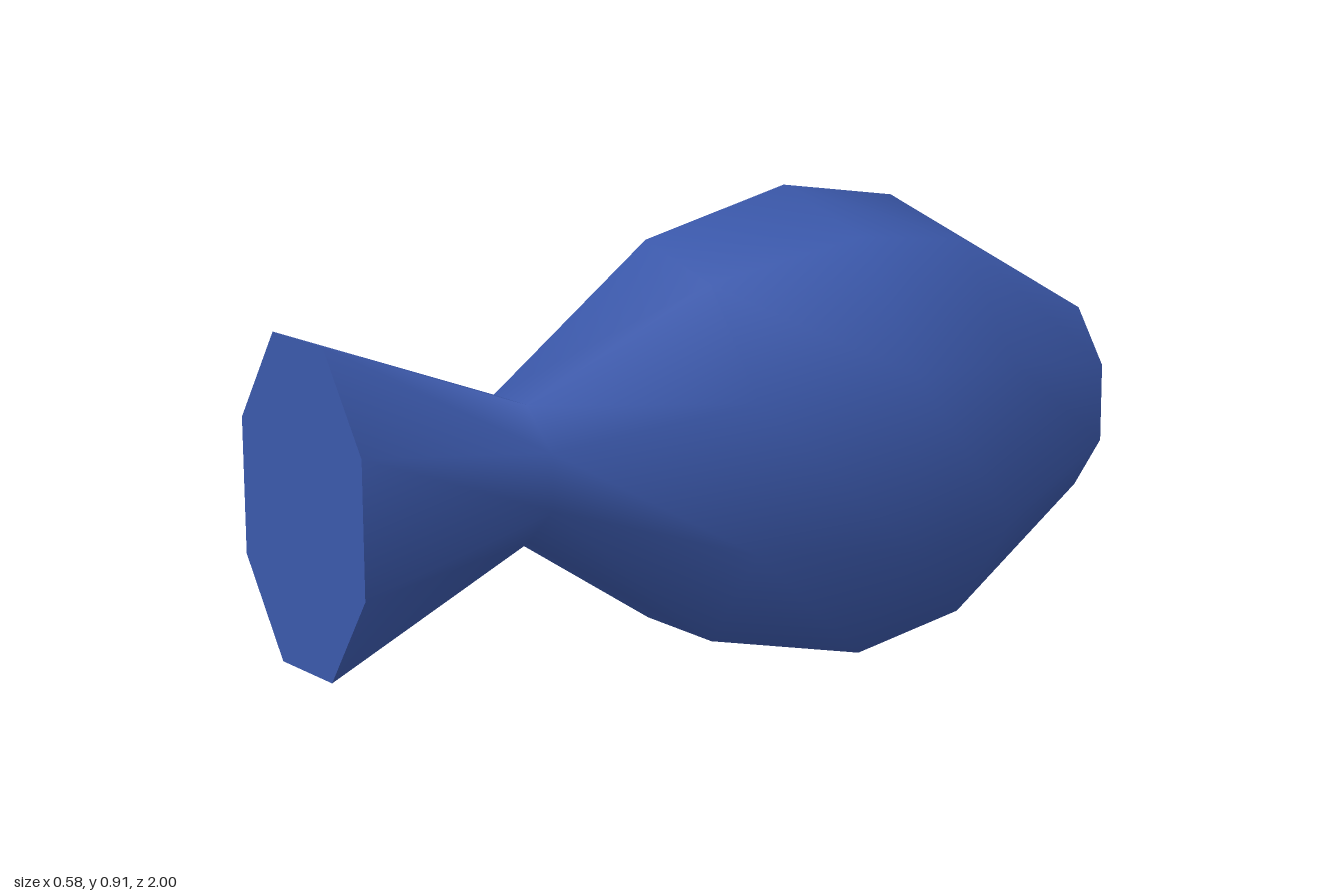
import * as THREE from 'three';

// Octagonal cross-section, counter-clockwise seen from +z, starting at the top right-hand side of the model
function ring([z, x0, x1, y0, topL, topR]) {
  const c = (x0 + x1) / 2, f = (x1 - x0) * 0.207, d = (topR - y0) * 0.29;
  return [
    [c - f, topL, z], [x0, topL - d, z], [x0, y0 + d, z], [c - f, y0, z],
    [c + f, y0, z], [x1, y0 + d, z], [x1, topR - d, z], [c + f, topR, z],
  ];
}

function geometry(points, index) {
  const g = new THREE.BufferGeometry();
  g.setAttribute('position', new THREE.Float32BufferAttribute(points.flat(), 3));
  g.setIndex(index);
  g.computeVertexNormals();
  return g;
}

export function createModel() {
  const group = new THREE.Group();
  const blue = new THREE.MeshStandardMaterial({ color: 0x3c5aae });
  blue.name = 'blue';
  const add = (name, g) => {
    const mesh = new THREE.Mesh(g, blue);
    mesh.name = name;
    group.add(mesh);
  };

  // z, left x, right x, bottom y, top y on each side
  const rings = [
    [1, -0.18, 0.22, 0.175, 0.785, 0.785],
    [0.55, -0.11, 0.15, 0.35, 0.61, 0.61],
    [0.15, -0.24, 0.25, 0.09, 0.845, 0.79],
    [-0.21, -0.29, 0.29, 0, 0.91, 0.84],
    [-0.49, -0.275, 0.255, 0.03, 0.86, 0.8],
    [-0.88, -0.147, 0.105, 0.22, 0.625, 0.6],
  ].map(ring);

  // Smooth skin: body and the sides of the tail
  const points = rings.flat();
  const index = [];
  for (let r = 0; r < rings.length - 1; r++) {
    for (let i = 0; i < 8; i++) {
      if (r === 0 && (i === 3 || i === 7)) continue;
      const a = r * 8 + i, b = r * 8 + (i + 1) % 8;
      index.push(a, a + 8, b, b, a + 8, b + 8);
    }
  }
  // Pointed nose
  const last = (rings.length - 1) * 8;
  points.push([-0.03, 0.395, -1]);
  for (let i = 0; i < 8; i++) index.push(last + i, last + 8, last + (i + 1) % 8);
  add('body', geometry(points, index));

  // Flat, hard-edged top and bottom of the tail
  for (const [name, i] of [['tailTop', 7], ['tailBottom', 3]]) {
    const j = (i + 1) % 8;
    add(name, geometry(
      [rings[0][i], rings[1][i], rings[0][j], rings[1][j]],
      [0, 1, 2, 2, 1, 3]));
  }

  // Flat end of the tail
  const cap = [];
  for (let i = 1; i < 7; i++) cap.push(0, i, i + 1);
  add('tailEnd', geometry(rings[0], cap));

  return group;
}
